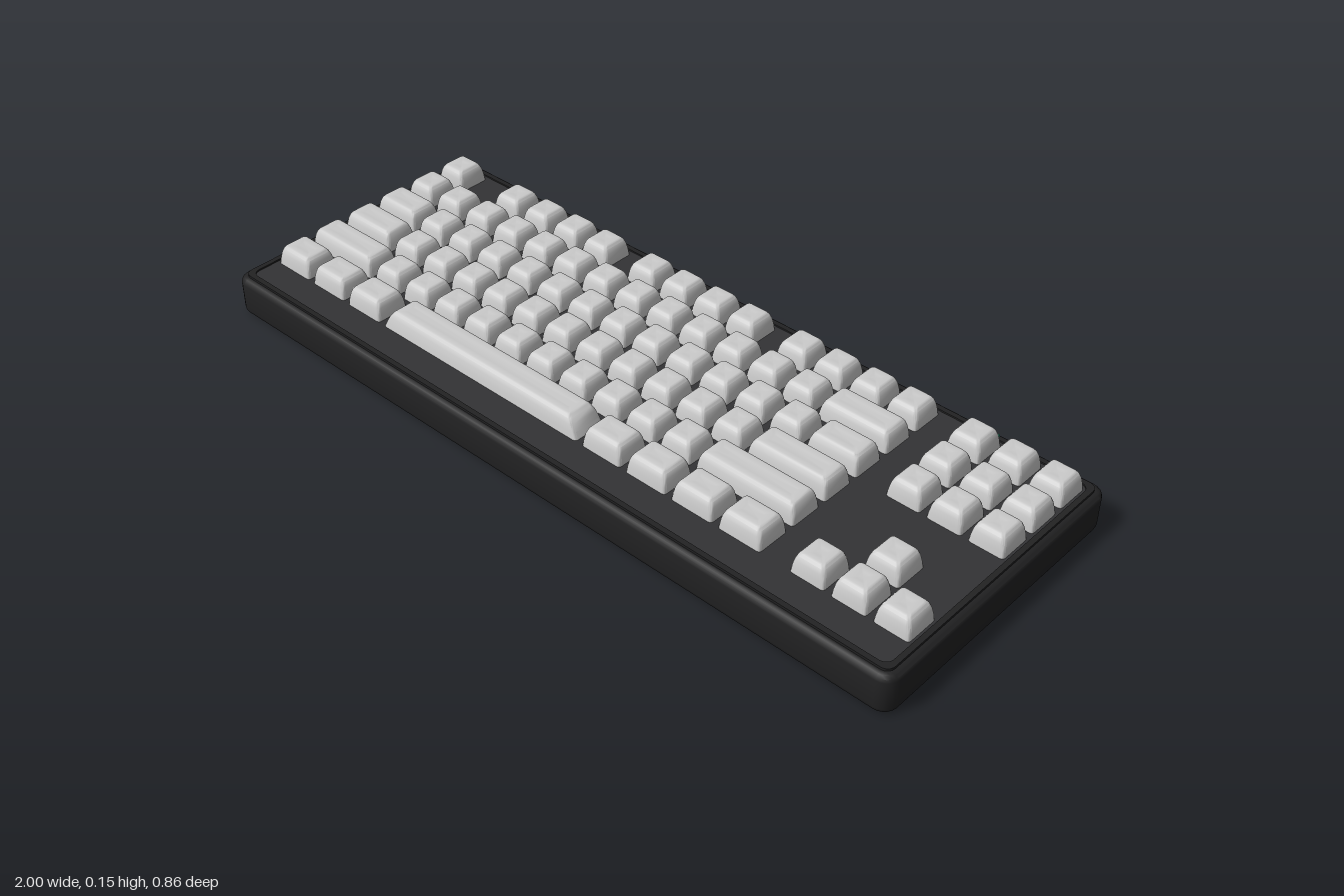
import * as THREE from 'three';
import { toCreasedNormals } from 'three/addons/utils/BufferGeometryUtils.js';

const UX = 0.1024, UZ = 0.104;      // key pitch across and down
const GAP = 0.016;                  // space between caps
const LEFT = -0.951, NAV = 0.644;   // left edges of the two key blocks
const BACK_ROW = -0.293;            // centre of the rearmost row
const CAP_Y = 0.1, CAP_H = 0.052;

const shell = new THREE.MeshStandardMaterial({ color: 0x222223 });
const deck = new THREE.MeshStandardMaterial({ color: 0x333335 });
const grey = new THREE.MeshStandardMaterial({ color: 0xcccccc });
const green = new THREE.MeshStandardMaterial({ color: 0x2f9c78 });

// Counter-clockwise outline of a rounded rectangle
function outline(w, d, r, steps) {
  const pts = [];
  for (let c = 0; c < 4; c++) {
    const sx = c === 0 || c === 3 ? 1 : -1, sy = c < 2 ? 1 : -1;
    for (let i = 0; i <= steps; i++) {
      const a = (c + i / steps) * Math.PI / 2;
      pts.push(new THREE.Vector2(
        sx * (w / 2 - r) + r * Math.cos(a), sy * (d / 2 - r) + r * Math.sin(a)));
    }
  }
  return pts;
}

// Rounded slab lying flat between two heights, with an optional opening
function slab(name, w, d, r, y0, y1, bevel, material, hole) {
  const shape = new THREE.Shape(outline(w - 2 * bevel, d - 2 * bevel, r, 5));
  if (hole) shape.holes.push(new THREE.Path(outline(hole[0], hole[1], r, 5).reverse()));
  const geo = new THREE.ExtrudeGeometry(shape, {
    depth: y1 - y0 - 2 * bevel, bevelEnabled: bevel > 0,
    bevelSize: bevel, bevelThickness: bevel, bevelSegments: 3,
  });
  geo.rotateX(-Math.PI / 2).translate(0, y0 + bevel, 0);
  const mesh = new THREE.Mesh(toCreasedNormals(geo, 0.6), material);
  mesh.name = name;
  return mesh;
}

// Keycap: stacked rounded outlines that curve inward, with a shallow dished top
function capGeometry(w, d, endSlope) {
  const rings = [[0, 0], [0.35, 0.002], [0.65, 0.005], [0.86, 0.009], [0.96, 0.013], [1, 0.018], [0.96, 0.032]];
  const pos = [], index = [];
  let n = 0;
  for (const [h, inset] of rings) {
    const loop = outline(w - 2 * (inset + endSlope * h), d - 2 * inset, 0.008, 3);
    n = loop.length;
    for (const p of loop) pos.push(p.x, h * CAP_H, -p.y);
  }
  for (let k = 0; k < rings.length - 1; k++) {
    for (let i = 0; i < n; i++) {
      const j = (i + 1) % n, a = k * n, b = a + n;
      index.push(a + i, a + j, b + j, a + i, b + j, b + i);
    }
  }
  const last = (rings.length - 1) * n, centre = pos.length / 3;
  pos.push(0, CAP_H * 0.95, 0);
  for (let i = 0; i < n; i++) index.push(last + i, last + (i + 1) % n, centre);
  const geo = new THREE.BufferGeometry();
  geo.setAttribute('position', new THREE.Float32BufferAttribute(pos, 3));
  geo.setIndex(index);
  return toCreasedNormals(geo, 0.7);
}

export function createModel() {
  const model = new THREE.Group();
  model.name = 'keyboard';
  const body = new THREE.Group();
  body.name = 'keyboardBody';
  body.rotation.y = 0.059;
  model.add(body);

  // Case, raised rim and top plate
  body.add(slab('case', 1.96, 0.752, 0.02, 0, 0.1, 0.015, shell));
  body.add(slab('rim', 1.926, 0.718, 0.02, 0.098, 0.106, 0, shell, [1.9, 0.692]));
  body.add(slab('plate', 1.902, 0.694, 0.02, 0.095, 0.102, 0, deck));

  // Indicator light behind the navigation keys
  const light = new THREE.Mesh(new THREE.BoxGeometry(0.022, 0.012, 0.01), green);
  light.name = 'indicatorLight';
  light.position.set(0.709, 0.105, -0.352);
  body.add(light);

  const cache = {};
  function key(name, blockLeft, start, row, units) {
    cache[units] ??= capGeometry(units * UX - GAP, UZ - GAP, units > 6 ? 0.018 : 0);
    const mesh = new THREE.Mesh(cache[units], grey);
    mesh.name = name;
    mesh.position.set(blockLeft + (start + units / 2) * UX, CAP_Y, BACK_ROW + row * UZ);
    body.add(mesh);
  }

  // Rear row: escape key, then three groups of four
  key('escapeKey', LEFT, 0, 0, 1);
  for (const start of [2, 6.5, 11]) {
    for (let i = 0; i < 4; i++) key('rearRowKey', LEFT, start + i, 0, 1);
  }

  // Main rows, given as key widths
  const ones = (n) => Array(n).fill(1);
  const rows = [
    [...ones(13), 2],
    [1.5, ...ones(12), 1.5],
    [1.75, ...ones(11), 2.25],
    [2.25, ...ones(10), 2.75],
    [1.25, 1.25, 1.25, 6.25, 1.25, 1.25, 1.25, 1.25],
  ];
  rows.forEach((widths, r) => {
    let x = 0;
    for (const u of widths) {
      key(u > 6 ? 'spaceBar' : u > 1 ? 'wideKey' : 'letterKey', LEFT, x, r + 1, u);
      x += u;
    }
  });

  // Navigation block and arrow keys
  for (let c = 0; c < 3; c++) {
    for (let r = 0; r < 3; r++) key('navigationKey', NAV, c, r, 1);
    key('arrowKey', NAV, c, 5, 1);
  }
  key('arrowKey', NAV, 1, 4, 1);

  return model;
}
